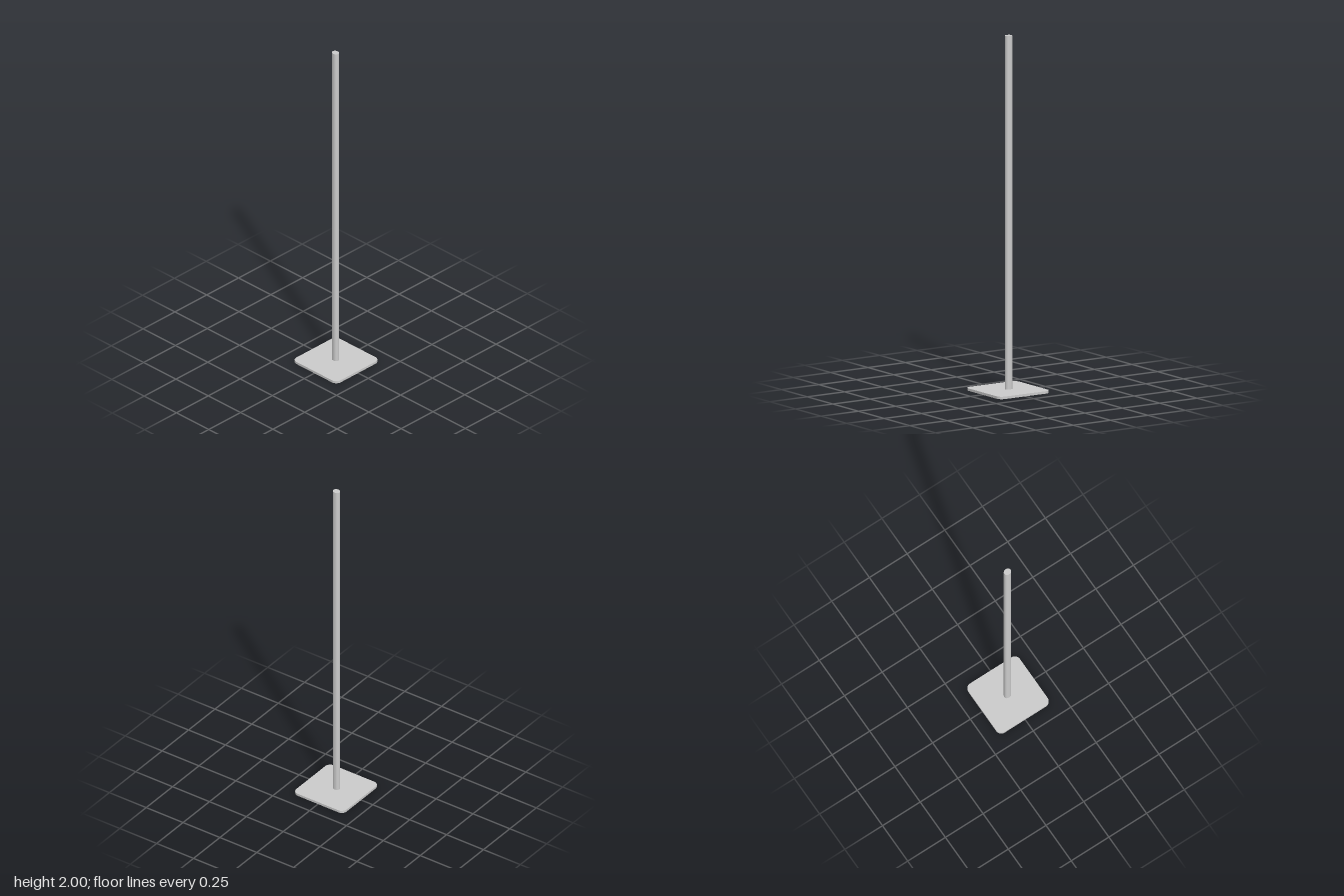
import * as THREE from 'three';

// Extrudes a plan outline (drawn as x, -z) upwards from y0 to y1
function upright(name, shape, y0, y1, material, curveSegments) {
  const geometry = new THREE.ExtrudeGeometry(shape, { depth: y1 - y0, bevelEnabled: false, curveSegments });
  geometry.rotateX(-Math.PI / 2);
  geometry.translate(0, y0, 0);
  const mesh = new THREE.Mesh(geometry, material);
  mesh.name = name;
  return mesh;
}

// Rectangle with rounded corners, from (-hx, bottom) to (hx, top)
function roundedOutline(hx, bottom, top, r) {
  const s = new THREE.Shape();
  s.absarc(hx - r, top - r, r, 0, Math.PI / 2);
  s.absarc(-hx + r, top - r, r, Math.PI / 2, Math.PI);
  s.absarc(-hx + r, bottom + r, r, Math.PI, Math.PI * 1.5);
  s.absarc(hx - r, bottom + r, r, Math.PI * 1.5, Math.PI * 2);
  s.closePath();
  return s;
}

export function createModel() {
  const model = new THREE.Group();
  model.name = 'polestand';
  const grey = new THREE.MeshStandardMaterial({ color: 0xcccccc });

  // Thin square foot plate
  const plateHeight = 0.014;
  model.add(upright('basePlate', roundedOutline(0.171, -0.171, 0.171, 0.034), 0, plateHeight, grey, 12));

  // Slightly oblong pole: two half rounds joined by short flats, set a little to the back
  const r = 0.0177, flat = 0.007;
  const section = new THREE.Shape();
  section.absarc(0, flat, r, 0, Math.PI);
  section.absarc(0, 0, r, Math.PI, Math.PI * 2);
  section.closePath();
  model.add(upright('pole', section, plateHeight, 2, grey, 24));

  return model;
}
